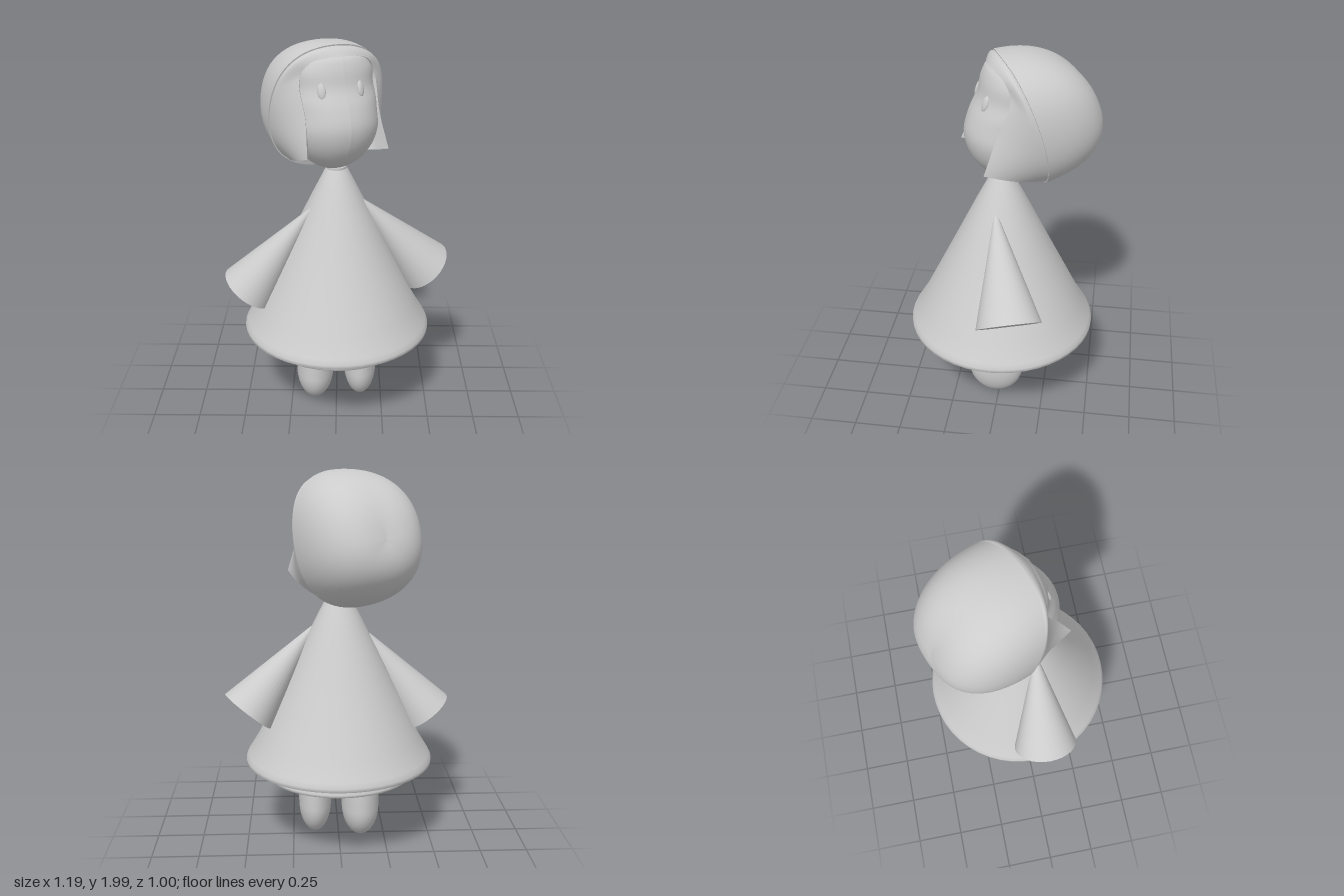
import * as THREE from 'three';
import { ParametricGeometry } from 'three/addons/geometries/ParametricGeometry.js';

const material = new THREE.MeshStandardMaterial({ color: 0xcccccc, side: THREE.DoubleSide });
const V = (x, y, z) => new THREE.Vector3(x, y, z);

function add(parent, name, geometry) {
  const mesh = new THREE.Mesh(geometry, material);
  mesh.name = name;
  parent.add(mesh);
  return mesh;
}

const lathe = (points, segments = 48) =>
  new THREE.LatheGeometry(points.map(([r, y]) => new THREE.Vector2(r, y)), segments);

// Smooth lathe whose profile is a curve through the given points
function smoothLathe(points, segments = 48) {
  const curve = new THREE.SplineCurve(points.map(([r, y]) => new THREE.Vector2(r, y)));
  const profile = curve.getPoints(40).map(p => p.set(Math.max(p.x, 0), p.y));
  return new THREE.LatheGeometry(profile, segments);
}

// Tilted, slightly squared oval where the hair cap meets the front locks; angle 0 is the top
const rimCentre = V(-0.008, 1.655, -0.04);
function rim(angle) {
  const s = Math.sin(angle), c = Math.cos(angle);
  const square = 1 + 0.05 * Math.sin(2 * angle) ** 2;
  return V(-0.008 + 0.31 * s * square, 1.655 + 0.336 * c * square, -0.04 + 0.1 * c - 0.03 * s * s);
}

// Rounded cap from the rim back to a pole, with the nape drawn in
function hairCap(u, v, target) {
  const angle = u * Math.PI * 2;
  const radius = Math.cos(v * 0.998 * Math.PI / 2);
  const s = Math.pow(Math.max(1 - Math.pow(radius, 2.4), 0), 1 / 2.4);
  target.copy(rim(angle)).sub(rimCentre).multiplyScalar(radius).add(rimCentre);
  target.y += 0.035 * s + 0.07 * s * radius * (1 - Math.cos(angle)) / 2;
  target.z -= 0.395 * s;
}

// Inner wall closing the cap
function hairInside(u, v, target) {
  target.copy(rim(u * Math.PI * 2)).lerp(rimCentre, v * 0.998);
}

// Front edge of the fringe and the two side locks
const frontEdge = new THREE.CatmullRomCurve3([
  V(-0.22, 1.475, 0.2), V(-0.2, 1.65, 0.13), V(-0.2, 1.84, 0.06), V(-0.15, 1.915, 0.08),
  V(0, 1.94, 0.11),
  V(0.15, 1.915, 0.08), V(0.2, 1.84, 0.06), V(0.2, 1.65, 0.13), V(0.22, 1.475, 0.2),
]);

// Lip turned in from the front edge toward the face
function hairLip(u, v, target) {
  const edge = frontEdge.getPoint(u);
  target.set(edge.x * (1 - 0.14 * v), edge.y - 0.01 * v, edge.z - 0.06 * v);
}

// Bulging band from the front edge back to the rim
function hairFront(u, v, target) {
  const back = rim((u - 0.5) * 5).sub(rimCentre).multiplyScalar(0.98).add(rimCentre);
  target.copy(frontEdge.getPoint(u)).lerp(back, v);
  const bulge = Math.sin(Math.PI * v);
  target.x *= 1 + 0.09 * bulge;
  target.y = 1.655 + (target.y - 1.655) * (1 + 0.03 * bulge);
}

function buildHead() {
  const head = new THREE.Group();
  head.name = 'head';
  head.position.set(-0.02, 0, -0.04);
  head.rotation.y = 0.42;

  // Face: round cheeks, narrower and wider-set forehead
  const face = smoothLathe([[0, 1.35], [0.07, 1.362], [0.15, 1.415], [0.21, 1.5], [0.232, 1.6],
    [0.205, 1.7], [0.16, 1.79], [0.138, 1.88], [0.1, 1.94], [0, 1.955]]);
  const p = face.attributes.position;
  for (let i = 0; i < p.count; i++) {
    p.setX(i, p.getX(i) * (1 + 0.46 * THREE.MathUtils.smoothstep(p.getY(i), 1.62, 1.9)));
  }
  face.computeVertexNormals();
  add(head, 'face', face);

  for (const side of [-1, 1]) {
    const eye = add(head, side < 0 ? 'rightEye' : 'leftEye', new THREE.SphereGeometry(1, 20, 14));
    eye.scale.set(0.021, 0.04, 0.012);
    eye.position.set(side * 0.1 - 0.016, 1.785, 0.142 + side * 0.008);
    eye.rotation.set(-0.3, side * 0.45, 0);
  }

  add(head, 'hairCap', new ParametricGeometry(hairCap, 64, 32));
  add(head, 'hairInside', new ParametricGeometry(hairInside, 64, 4));
  add(head, 'hairFront', new ParametricGeometry(hairFront, 72, 16));
  add(head, 'hairLip', new ParametricGeometry(hairLip, 72, 2));
  return head;
}

// Cone sleeve from the shoulder point to the centre of its oval base
function sleeve(parent, name, apex, base) {
  const axis = base.clone().sub(apex);
  const length = axis.length();
  const geometry = new THREE.ConeGeometry(1, length, 32).translate(0, -length / 2, 0);
  const mesh = add(parent, name, geometry);
  mesh.scale.set(0.15, 1, 0.168);
  mesh.quaternion.setFromUnitVectors(V(0, -1, 0), axis.normalize());
  mesh.position.copy(apex);
}

// Oval leg with a long rounded foot
function leg(parent, name, x, bottom, rx, rz) {
  const profile = [];
  for (let i = 0; i <= 14; i++) {
    const a = i / 14 * Math.PI / 2;
    profile.push([Math.sin(a), bottom + 0.17 * (1 - Math.cos(a))]);
  }
  profile.push([1, 0.68], [0, 0.74]);
  const mesh = add(parent, name, lathe(profile, 36));
  mesh.scale.set(rx, 1, rz);
  mesh.position.set(x, 0, 0.015);
}

export function createModel() {
  const model = new THREE.Group();
  model.name = 'doll';

  // Dress and underskirt, both open below
  add(model, 'dress', lathe([[0.49, 0.453], [0.5, 0.456], [0.5, 0.475], [0.487, 0.5],
    [0.432, 0.59], [0.246, 0.97], [0.135, 1.2], [0.058, 1.352], [0.045, 1.355]]));
  add(model, 'underskirt', lathe([[0.395, 0.385], [0.405, 0.387], [0.405, 0.4], [0.385, 0.46],
    [0.335, 0.62], [0.1, 1.12]]));
  add(model, 'neck', new THREE.CylinderGeometry(0.05, 0.05, 0.08, 32).translate(0, 1.327, 0));

  sleeve(model, 'leftSleeve', V(0.11, 1.21, 0.02), V(0.48, 0.755, -0.1));
  sleeve(model, 'rightSleeve', V(-0.11, 1.18, 0.07), V(-0.472, 0.692, 0.06));

  leg(model, 'rightLeg', -0.12, 0, 0.102, 0.155);
  leg(model, 'leftLeg', 0.13, 0.025, 0.088, 0.15);

  model.add(buildHead());
  return model;
}
